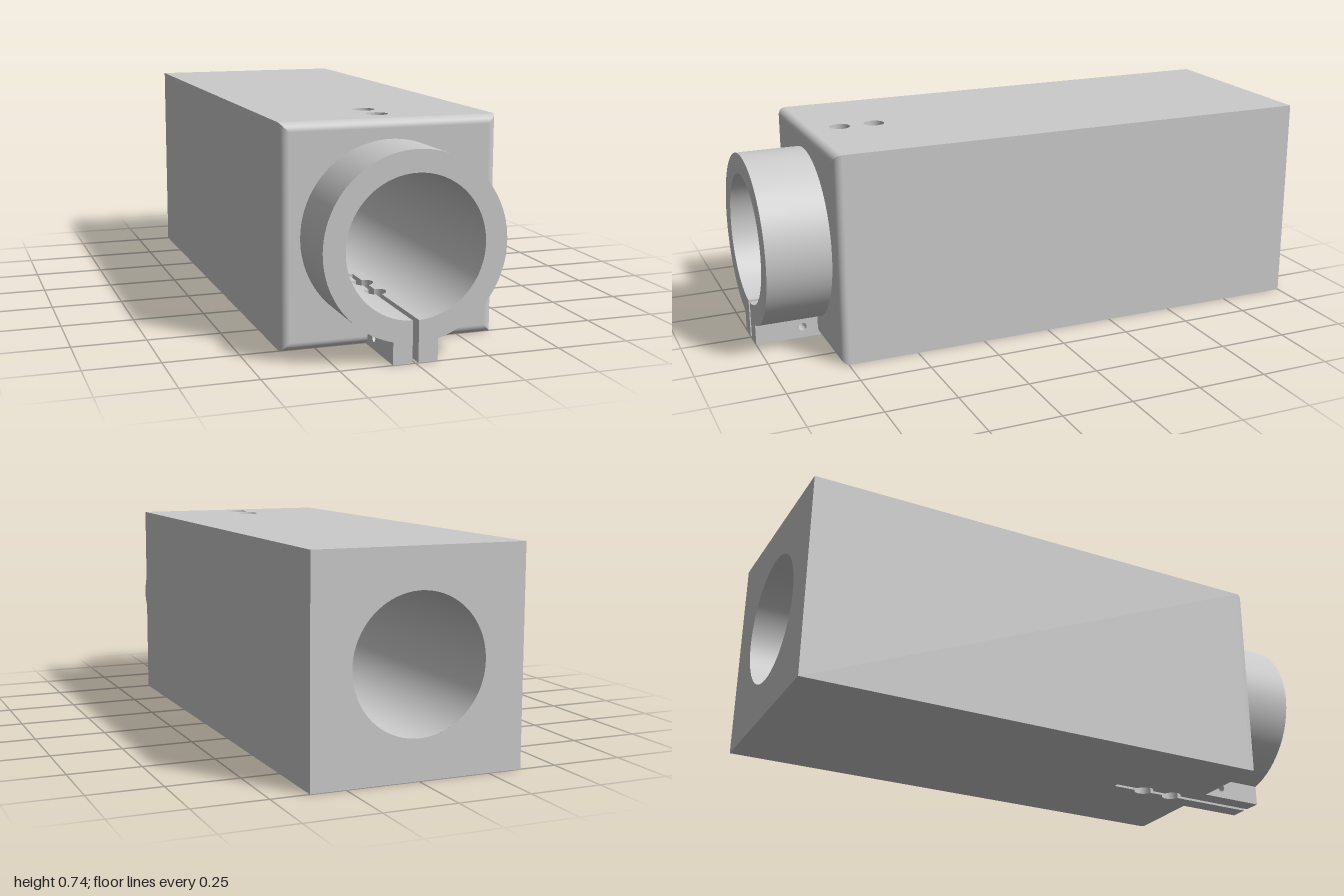
import * as THREE from 'three';
import { ParametricGeometry } from 'three/addons/geometries/ParametricGeometry.js';

const H = 0.37;          // half width of the square body
const R = 0.232;         // bore radius
const RO = 0.305;        // collar outer radius
const BACK = -1, FACE = 0.775, FRONT = 1;
const BEVEL = 0.03;
const GAP = 0.01;        // half width of the clamp slit
const SLIT_END = 0.39;
const HOLE_R = 0.037, HOLES = [0.643, 0.517];
const W = 0.045;         // half width of the bore strips that carry the holes

const mat = new THREE.MeshStandardMaterial({ color: 0xcccccc, side: THREE.DoubleSide });
const V = (x, y) => new THREE.Vector2(x, y);
const lerp = THREE.MathUtils.lerp;

// points of an arc about (0, cy)
function arc(r, a0, a1, n, cy = 0) {
  return Array.from({ length: n + 1 }, (_, i) => {
    const a = lerp(a0, a1, i / n);
    return V(r * Math.cos(a), cy + r * Math.sin(a));
  });
}

// arc that leaves the slit open at the bottom
function openArc(r, n) {
  const a = Math.asin(GAP / r);
  return arc(r, -Math.PI / 2 + a, 1.5 * Math.PI - a, n);
}

// slit outline in x/z, widened by the two vertical holes
function slitPath(zTop) {
  const a = Math.asin(GAP / HOLE_R);
  const right = [V(GAP, zTop)];
  for (const z of HOLES) right.push(...arc(HOLE_R, Math.PI / 2 - a, -Math.PI / 2 + a, 16, z));
  right.push(V(GAP, SLIT_END));
  return [...right, ...right.map(p => V(-p.x, p.y)).reverse()];
}

const boreHeight = x => Math.sqrt(R * R - x * x);

// x/z shape laid flat, or bent onto the bore
function sheet(shape, height) {
  const g = new THREE.ShapeGeometry(shape, 24);
  const p = g.attributes.position;
  for (let i = 0; i < p.count; i++) p.setXYZ(i, p.getX(i), height(p.getX(i)), p.getY(i));
  g.computeVertexNormals();
  return g;
}

// wall that follows an x/z path from the outer face to the bore
function wall(pts, side) {
  const n = pts.length - 1;
  const g = new ParametricGeometry((u, v, t) => {
    const p = pts[Math.round(u * n)];
    t.set(p.x, side * lerp(H, boreHeight(p.x), v), p.y);
  }, n, 1).toNonIndexed();
  g.computeVertexNormals();
  return g;
}

function boreArc(t0, t1, z0, z1, n) {
  return new ParametricGeometry((u, v, t) => {
    const a = lerp(t0, t1, u);
    t.set(R * Math.sin(a), R * Math.cos(a), lerp(z0, z1, v));
  }, n, 1);
}

// rounded front edge running from x0 to the mitred corner
function edgeStrip(x0, mitreStart) {
  return new ParametricGeometry((u, v, t) => {
    const a = v * Math.PI / 2, h = H - BEVEL + BEVEL * Math.cos(a);
    t.set(lerp(mitreStart ? -h : x0, h, u), h, FACE - BEVEL + BEVEL * Math.sin(a));
  }, 1, 8);
}

function withHoles(shape) {
  for (const z of HOLES) shape.holes.push(new THREE.Path(arc(HOLE_R, 0, 2 * Math.PI, 32, z)));
  return shape;
}

const rect = (x, z0, z1) => new THREE.Shape([V(-x, z0), V(x, z0), V(x, z1), V(-x, z1)]);
const slitRect = (x, z0, z1) =>
  new THREE.Shape([V(-x, z0), V(x, z0), V(x, z1), ...slitPath(z1), V(-x, z1)]);

export function createModel() {
  const group = new THREE.Group();
  const add = (name, geometry) => {
    const m = new THREE.Mesh(geometry, mat);
    m.name = name;
    m.position.y = H;
    group.add(m);
    return m;
  };

  // Outer faces of the square body
  const zEdge = FACE - BEVEL;
  add('bodyTop', sheet(withHoles(rect(H, BACK, zEdge)), () => H));
  add('bodyBottom', sheet(slitRect(H, BACK, zEdge), () => -H));
  for (const s of [1, -1]) {
    const side = sheet(rect(H, BACK, zEdge), () => H);
    add(s > 0 ? 'bodyLeft' : 'bodyRight', side).rotation.z = -s * Math.PI / 2;
  }
  const back = new THREE.Shape([V(-H, -H), V(H, -H), V(H, H), V(-H, H)]);
  back.holes.push(new THREE.Path(arc(R, 0, 2 * Math.PI, 96)));
  add('bodyBack', new THREE.ShapeGeometry(back).rotateY(Math.PI).translate(0, 0, BACK));

  // Front face, open behind the collar and the slit
  const f = H - BEVEL;
  const face = new THREE.Shape([
    V(GAP, -f), V(f, -f), V(f, f), V(-f, f), V(-f, -f), V(-GAP, -f),
    ...openArc(0.28, 72).reverse(),
  ]);
  add('bodyFront', new THREE.ShapeGeometry(face).translate(0, 0, FACE));

  // Rounded front edges; the bottom one is split by the slit
  for (const a of [0, Math.PI / 2, -Math.PI / 2]) add('frontEdge', edgeStrip(0, true)).rotation.z = a;
  add('frontEdgeBottomRight', edgeStrip(GAP, false)).rotation.z = Math.PI;
  add('frontEdgeBottomLeft', edgeStrip(GAP, false).rotateY(0).scale(-1, 1, 1)).rotation.z = Math.PI;

  // Bore through the body
  const t = Math.asin(W / R), zA = 0.35, zB = 0.71;
  add('boreLeft', boreArc(t, Math.PI - t, BACK, FACE, 48));
  add('boreRight', boreArc(-t, t - Math.PI, BACK, FACE, 48));
  add('boreTopRear', boreArc(-t, t, BACK, zA, 8));
  add('boreTopFront', boreArc(-t, t, zB, FACE, 8));
  add('boreTopHoles', sheet(withHoles(rect(W, zA, zB)), boreHeight));
  add('boreBottomRear', boreArc(Math.PI - t, Math.PI + t, BACK, zA, 8));
  add('boreBottomSlit', sheet(slitRect(W, zA, FACE), x => -boreHeight(x)));

  // Walls of the vertical holes and of the slit
  for (const z of HOLES) add('topHole', wall(arc(HOLE_R, 0, 2 * Math.PI, 32, z), 1));
  add('slitWall', wall(slitPath(FACE - 0.005), -1));

  // Split collar
  const ring = new THREE.Shape([...openArc(RO, 96), ...openArc(R, 96).reverse()]);
  const collar = new THREE.ExtrudeGeometry(ring, { depth: FRONT - FACE + 0.005, bevelEnabled: false });
  add('collar', smoothRound(collar.translate(0, 0, FACE - 0.005)));

  // Clamp ears with a cross hole for the screw
  const ear = new THREE.Shape([V(-FRONT, -H), V(-0.72, -H), V(-0.72, -0.296), V(-FRONT, -0.296)]);
  ear.holes.push(new THREE.Path(arc(0.014, 0, 2 * Math.PI, 20, -0.33).map(p => V(p.x - 0.83, p.y))));
  for (const x of [GAP, -0.075]) {
    const g = new THREE.ExtrudeGeometry(ear, { depth: 0.075 - GAP, bevelEnabled: false });
    add(x > 0 ? 'clampEarLeft' : 'clampEarRight', g.rotateY(Math.PI / 2).translate(x, 0, 0));
  }
  return group;
}

// radial normals on the curved walls of the collar
function smoothRound(g) {
  const p = g.attributes.position, n = g.attributes.normal;
  for (let i = 0; i < p.count; i++) {
    const x = p.getX(i), y = p.getY(i), r = Math.hypot(x, y);
    const d = (n.getX(i) * x + n.getY(i) * y) / r;
    if (Math.abs(d) > 0.9) n.setXYZ(i, Math.sign(d) * x / r, Math.sign(d) * y / r, 0);
  }
  return g;
}
